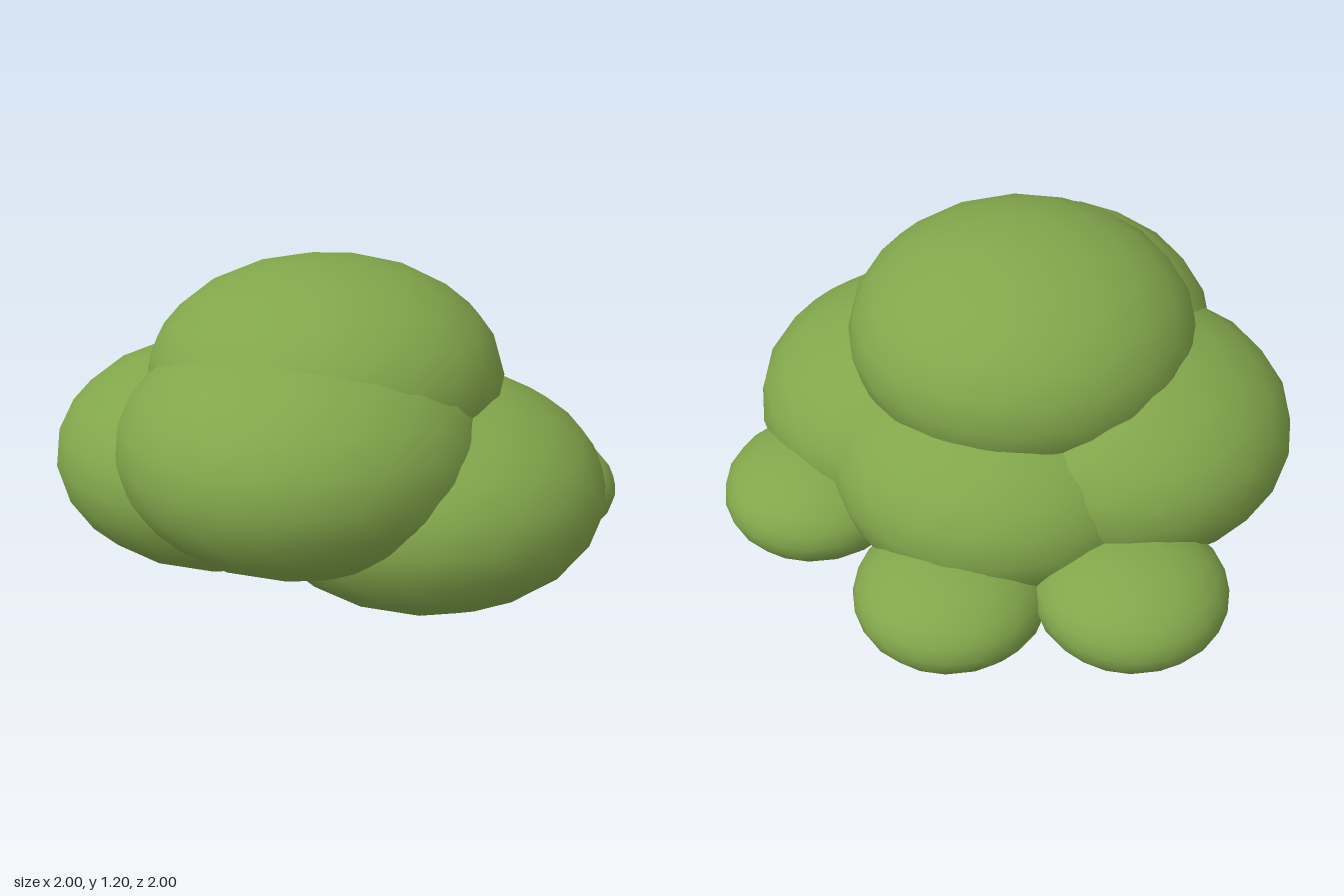
import * as THREE from 'three';

// name, centre x y z, horizontal radius, vertical radius
const CLUMPS = [
  ['topClump', 0, 0.79, 0.115, 0.625, 0.41],
  ['frontClump', 0, 0.618, 0.37, 0.632, 0.418],
  ['leftClump', 0.37, 0.417, 0.11, 0.63, 0.402],
  ['rightClump', -0.37, 0.465, 0.11, 0.63, 0.405],
  ['backClump', 0, 0.405, -0.115, 0.628, 0.4],
  ['smallBackClump', 0, 0.2, -0.66, 0.34, 0.197],
  ['smallLeftClump', 0.625, 0.262, -0.37, 0.34, 0.2],
  ['smallRightClump', -0.593, 0.235, -0.492, 0.338, 0.2],
];

export function createModel() {
  const bush = new THREE.Group();
  bush.name = 'bush';

  const leafGreen = new THREE.MeshStandardMaterial({ color: 0x82a64b });
  leafGreen.name = 'leafGreen';

  // Smooth round ball with a corner at each pole, shared by all clumps
  const ball = new THREE.IcosahedronGeometry(1, 3);
  ball.rotateX(-Math.atan((1 + Math.sqrt(5)) / 2));

  // Flattened, overlapping foliage clumps
  for (const [name, x, y, z, radius, height] of CLUMPS) {
    const clump = new THREE.Mesh(ball, leafGreen);
    clump.name = name;
    clump.position.set(x, y, z);
    clump.scale.set(radius, height, radius);
    bush.add(clump);
  }
  return bush;
}
